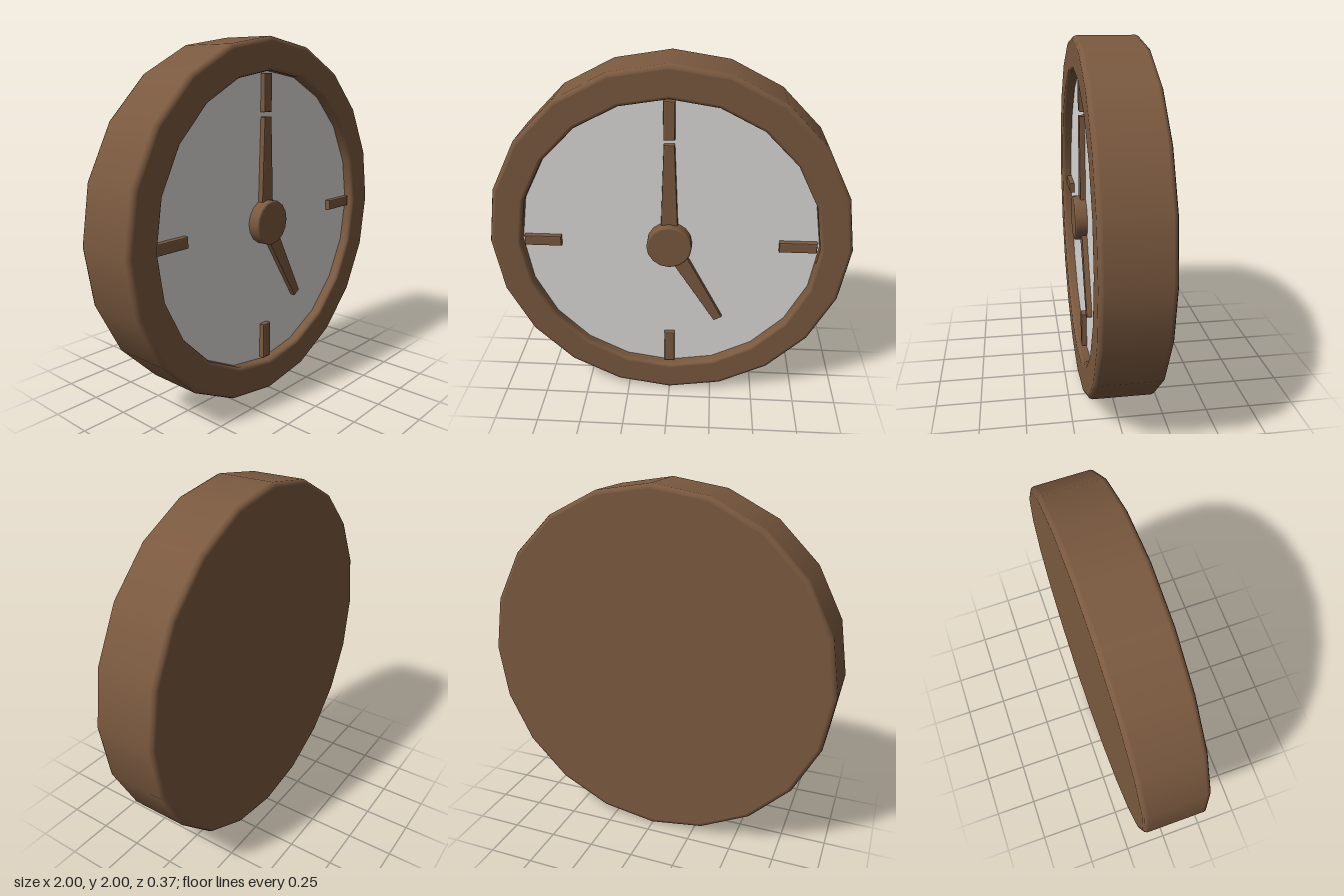
import * as THREE from 'three';

const wood = new THREE.MeshStandardMaterial({ color: 0x7a593f });
wood.name = 'brown wood';
const dial = new THREE.MeshStandardMaterial({ color: 0xdcdad8 });
dial.name = 'pale dial';

const FACE_Z = 0.115;

// Turns corner points [radius, z, bevel] into a profile with rounded corners;
// support points beside each bevel keep the flats evenly shaded.
function bevelProfile(corners) {
  const pts = corners.map(([r, z]) => new THREE.Vector2(r, z));
  const out = [];
  pts.forEach((p, i) => {
    const b = corners[i][2];
    if (!b) { out.push(p); return; }
    const a = pts[i - 1].clone().sub(p).normalize();
    const c = pts[i + 1].clone().sub(p).normalize();
    out.push(p.clone().addScaledVector(a, b * 1.3));
    out.push(p.clone().addScaledVector(a, b));
    out.push(p.clone().addScaledVector(a, b * 0.3).addScaledVector(c, b * 0.3));
    out.push(p.clone().addScaledVector(c, b));
    out.push(p.clone().addScaledVector(c, b * 1.3));
  });
  return out;
}

// Round part turned about the z axis
function turned(name, corners, sides) {
  const geo = new THREE.LatheGeometry(bevelProfile(corners), sides);
  geo.rotateX(Math.PI / 2);
  const mesh = new THREE.Mesh(geo, wood);
  mesh.name = name;
  return mesh;
}

// Tapered bevelled bar pointing outwards from the clock centre
function bar(name, from, to, wide, narrow, angle) {
  const b = 0.006;
  const w = wide / 2 - b, n = narrow / 2 - b;
  const shape = new THREE.Shape([
    new THREE.Vector2(-w, from + b), new THREE.Vector2(w, from + b),
    new THREE.Vector2(n, to - b), new THREE.Vector2(-n, to - b),
  ]);
  const geo = new THREE.ExtrudeGeometry(shape, {
    depth: 0.026, bevelEnabled: true, bevelSize: b, bevelThickness: b, bevelSegments: 2,
  });
  const mesh = new THREE.Mesh(geo, wood);
  mesh.name = name;
  mesh.position.z = FACE_Z - 0.002;
  mesh.rotation.z = angle;
  return mesh;
}

export function createModel() {
  const model = new THREE.Group();
  model.name = 'wallClock';
  const clock = new THREE.Group();
  clock.name = 'clock';
  clock.position.y = 1;
  model.add(clock);

  // Case: closed back, outer wall and raised front rim
  clock.add(turned('case', [
    [0, -0.183], [1, -0.183, 0.02], [1, 0.172, 0.02],
    [0.825, 0.172, 0.015], [0.825, 0.1],
  ], 20));

  // Recessed dial
  const face = new THREE.Mesh(new THREE.CircleGeometry(0.828, 20), dial);
  face.name = 'dial';
  face.position.z = FACE_Z;
  clock.add(face);

  // Quarter-hour markers
  for (let i = 0; i < 4; i++) {
    clock.add(bar('hourMarker', 0.605, 0.81, 0.06, 0.06, i * Math.PI / 2));
  }

  // Hands and centre hub
  clock.add(bar('minuteHand', 0, 0.58, 0.1, 0.058, 0));
  clock.add(bar('hourHand', 0, 0.565, 0.1, 0.052, -Math.PI * 5 / 6));
  clock.add(turned('hub', [
    [0.125, 0.11], [0.125, 0.183, 0.008], [0, 0.183],
  ], 16));

  return model;
}
